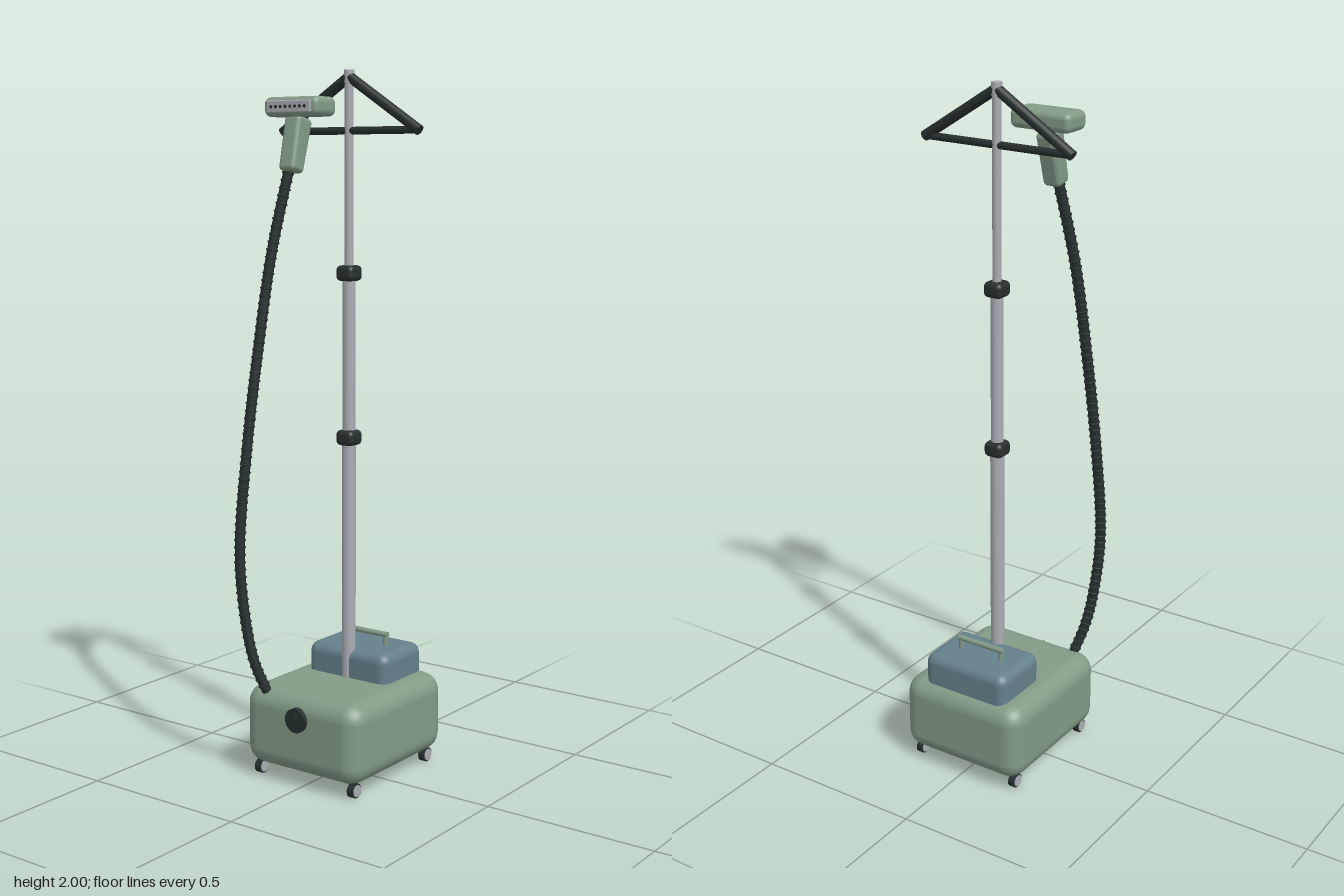
import * as THREE from 'three';
import { RoundedBoxGeometry } from 'three/addons/geometries/RoundedBoxGeometry.js';

const mat = (name, color) => Object.assign(new THREE.MeshStandardMaterial({ color }), { name });
const V = (x, y, z) => new THREE.Vector3(x, y, z);

export function createModel() {
  const model = new THREE.Group();
  const green = mat('sage green', 0x839a86);
  const blue = mat('tank blue grey', 0x64808a);
  const dark = mat('charcoal', 0x26302f);
  const metal = mat('light metal', 0xa9adb3);

  const add = (name, geometry, material, x = 0, y = 0, z = 0, parent = model) => {
    const mesh = new THREE.Mesh(geometry, material);
    mesh.name = name;
    mesh.position.set(x, y, z);
    parent.add(mesh);
    return mesh;
  };
  const rounded = (w, h, d, r, s = 3) => new RoundedBoxGeometry(w, h, d, s, r);
  // Cylinder between two points
  const rod = (name, a, b, r, material, sides = 16) => {
    const mid = a.clone().add(b).multiplyScalar(0.5);
    const mesh = add(name, new THREE.CylinderGeometry(r, r, a.distanceTo(b), sides), material, mid.x, mid.y, mid.z);
    mesh.quaternion.setFromUnitVectors(V(0, 1, 0), b.clone().sub(a).normalize());
    return mesh;
  };

  // Base housing and water tank
  add('base', rounded(0.404, 0.235, 0.452, 0.055), green, 0, 0.1525, -0.017);
  add('waterTank', rounded(0.28, 0.125, 0.195, 0.03), blue, 0, 0.2925, -0.1175);

  // Tank carrying handle
  rod('tankHandleGrip', V(-0.078, 0.386, -0.122), V(0.078, 0.386, -0.122), 0.008, green);
  for (const s of [-1, 1]) {
    rod('tankHandlePost', V(s * 0.07, 0.345, -0.122), V(s * 0.07, 0.386, -0.122), 0.007, green);
  }

  // Front dial with pointer
  rod('dial', V(0, 0.203, 0.2), V(0, 0.203, 0.221), 0.035, dark, 20);
  add('dialPointer', new THREE.BoxGeometry(0.005, 0.025, 0.004), dark, 0, 0.217, 0.222);

  // Casters
  for (const x of [-0.165, 0.165]) {
    for (const z of [-0.192, 0.165]) {
      rod('casterStem', V(x, 0.02, z), V(x, 0.06, z), 0.011, dark, 10);
      rod('casterWheel', V(x - 0.01, 0.021, z), V(x + 0.01, 0.021, z), 0.021, dark);
      rod('casterHub', V(x - 0.0125, 0.021, z), V(x + 0.0125, 0.021, z), 0.017, metal);
    }
  }

  // Telescopic pole with clamps
  const pz = -0.036;
  rod('lowerPole', V(0, 0.25, pz), V(0, 0.98, pz), 0.02, metal, 20);
  rod('middlePole', V(0, 0.96, pz), V(0, 1.45, pz), 0.018, metal, 20);
  rod('upperPole', V(0, 1.43, pz), V(0, 1.985, pz), 0.0125, metal, 20);
  rod('poleCap', V(0, 1.965, pz), V(0, 2, pz), 0.015, metal, 20);
  for (const y of [0.975, 1.442]) add('poleClamp', rounded(0.058, 0.044, 0.06, 0.014), dark, 0, y, pz);

  // Garment hanger
  for (const s of [-1, 1]) rod('hangerArm', V(0, 1.982, pz), V(s * 0.234, 1.833, pz), 0.0145, dark);
  rod('hangerBar', V(-0.23, 1.835, pz), V(0.23, 1.835, pz), 0.0105, dark);

  // Steam head with perforated plate
  add('steamHead', rounded(0.187, 0.054, 0.096, 0.018), green, -0.0955, 1.899, 0.063);
  add('steamPlate', rounded(0.152, 0.034, 0.01, 0.004), metal, -0.0955, 1.899, 0.1125);
  for (let i = 0; i < 8; i++) {
    const x = -0.0955 + (i - 3.5) * 0.0165;
    rod('steamHole', V(x, 1.899, 0.115), V(x, 1.899, 0.1195), 0.0045, dark, 10);
  }

  // Tapered, tilted steam head grip
  const grip = rounded(0.055, 0.155, 0.06, 0.013);
  const p = grip.attributes.position;
  for (let i = 0; i < p.count; i++) p.setZ(i, p.getZ(i) * (1 + p.getY(i) * 1.6));
  add('steamGrip', grip, green, -0.108, 1.797, 0.07).rotation.x = -0.25;

  // Ribbed hose
  const path = new THREE.CatmullRomCurve3([
    V(-0.113, 1.74, 0.087), V(-0.148, 1.5, 0.126), V(-0.168, 1.25, 0.16), V(-0.184, 0.95, 0.198),
    V(-0.193, 0.65, 0.222), V(-0.174, 0.45, 0.219), V(-0.153, 0.34, 0.208), V(-0.13, 0.255, 0.182),
  ]);
  add('hose', new THREE.TubeGeometry(path, 90, 0.0145, 12), dark);
  const rib = new THREE.TorusGeometry(0.0145, 0.003, 6, 14);
  for (let i = 1; i < 70; i++) {
    const c = path.getPointAt(i / 70);
    add('hoseRib', rib, dark, c.x, c.y, c.z).quaternion.setFromUnitVectors(V(0, 0, 1), path.getTangentAt(i / 70));
  }
  return model;
}
